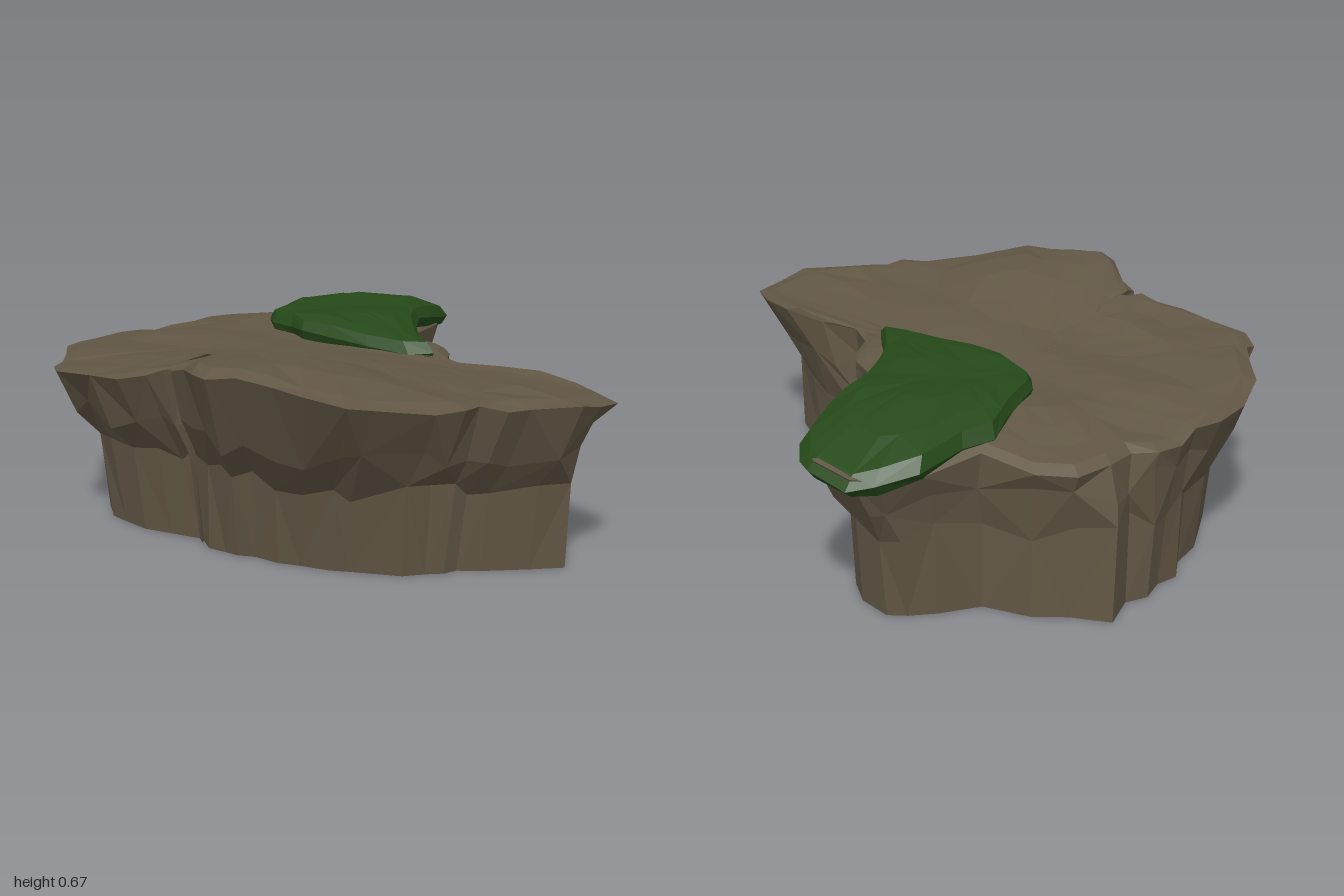
import * as THREE from 'three';

// Repeatable noise in the range -1..1
const noise = (a, b) => {
  const s = Math.sin(a * 12.9898 + b * 78.233) * 43758.5453;
  return (s - Math.floor(s)) * 2 - 1;
};
const bump = (x, z, cx, cz, w) => Math.exp(-((x - cx) ** 2 + (z - cz) ** 2) / w);
const { lerp: mix, smoothstep } = THREE.MathUtils;

// Height of the rock's upper surface, with shallow slanting ridges
const rockHeight = (x, z) => 0.548
  + 0.125 * bump(x, z, 0.33, 0.6, 0.16)
  + 0.02 * bump(x, z, 0.88, 0.1, 0.05)
  - 0.045 * smoothstep(-x, 0.6, 0.95)
  - 0.03 * smoothstep(-z, 0.2, 0.7)
  + 0.006 * Math.sin(4 * x + 17 * z) + 0.004 * Math.sin(9 * x - 8 * z);

// Height of the grass crown, sinking toward the back tip and both sides
const grassHeight = (x, z) => 0.614
  - 0.08 * smoothstep(-z, 0.5, 0.9)
  - 0.045 * smoothstep(-x, 0.5, 0.8)
  - 0.02 * smoothstep(x, -0.2, 0.1)
  + 0.004 * Math.sin(13 * x + 9 * z);

// Joins closed rings of points, listed from the lowest outward to the innermost
function loft(rings) {
  const pos = [];
  const tri = (...p) => p.forEach((v) => pos.push(v.x, v.y, v.z));
  for (let r = 0; r < rings.length - 1; r++) {
    const lo = rings[r], up = rings[r + 1], n = lo.length;
    const last = r === rings.length - 2;
    for (let i = 0; i < n; i++) {
      const j = (i + 1) % n;
      if (last) tri(lo[i], lo[j], up[i]);
      else if ((i + r) % 2) { tri(lo[i], lo[j], up[j]); tri(lo[i], up[j], up[i]); }
      else { tri(lo[i], lo[j], up[i]); tri(lo[j], up[j], up[i]); }
    }
  }
  const g = new THREE.BufferGeometry();
  g.setAttribute('position', new THREE.Float32BufferAttribute(pos, 3));
  g.computeVertexNormals();
  return g;
}

// Distance from a centre to a closed outline, as a multiple of the direction
function reach(outline, cx, cz, dx, dz) {
  for (let i = 0; i < outline.length; i++) {
    const [ax, az] = outline[i], [bx, bz] = outline[(i + 1) % outline.length];
    const ex = bx - ax, ez = bz - az, d = dx * ez - dz * ex;
    if (Math.abs(d) < 1e-9) continue;
    const t = ((ax - cx) * ez - (az - cz) * ex) / d;
    const u = ((ax - cx) * dz - (az - cz) * dx) / d;
    if (t > 0 && u >= -1e-6 && u <= 1 + 1e-6) return t;
  }
  return 1;
}

// Upper rim of the rock: left side, front, right side, back
const rim = [
  [-0.96, -0.1], [-0.92, 0], [-0.95, 0.08], [-0.94, 0.17], [-0.9, 0.25], [-0.88, 0.36], [-0.82, 0.5],
  [-0.73, 0.62], [-0.6, 0.7], [-0.5, 0.77], [-0.49, 0.81], [-0.39, 0.855], [-0.25, 0.82], [-0.12, 0.8],
  [-0.05, 0.74], [0, 0.71], [0.01, 0.64], [0.03, 0.7], [0.1, 0.7], [0.25, 0.77], [0.34, 0.785],
  [0.4, 0.72], [0.5, 0.67], [0.62, 0.64], [0.7, 0.55], [0.73, 0.48], [0.82, 0.32], [0.86, 0.24],
  [0.84, 0.17], [0.91, 0.12], [0.93, 0.05], [0.995, -0.1], [0.97, -0.2], [0.935, -0.31], [0.82, -0.335],
  [0.65, -0.34], [0.47, -0.29], [0.34, -0.23], [0.22, -0.26], [0.15, -0.33], [0.08, -0.37], [-0.11, -0.4],
  [-0.2, -0.49], [-0.3, -0.67], [-0.41, -0.79], [-0.55, -0.84], [-0.69, -0.8], [-0.73, -0.73],
  [-0.75, -0.6], [-0.74, -0.4], [-0.9, -0.32], [-0.97, -0.22],
];

// Footprint of the rock on the ground
const foot = [
  [-1, -0.106], [-0.93, 0], [-0.92, 0.12], [-0.84, 0.27], [-0.75, 0.38], [-0.57, 0.57], [-0.39, 0.66],
  [-0.22, 0.61], [-0.08, 0.54], [0.02, 0.57], [0.2, 0.52], [0.4, 0.42], [0.6, 0.27], [0.7, 0.08],
  [0.76, -0.04], [0.87, -0.1], [0.87, -0.18], [0.6, -0.235], [0.35, -0.22], [0.14, -0.33], [-0.2, -0.44],
  [-0.32, -0.6], [-0.5, -0.68], [-0.65, -0.64], [-0.72, -0.4], [-0.86, -0.28],
];

// Outline of the grass patch
const patch = [
  [-0.77, -0.62], [-0.72, -0.45], [-0.72, -0.34], [-0.66, -0.27], [-0.6, -0.2], [-0.52, -0.08],
  [-0.45, -0.04], [-0.36, -0.05], [-0.27, -0.03], [-0.15, -0.06], [0, -0.1], [0.15, -0.15],
  [0.22, -0.2], [0.05, -0.29], [-0.1, -0.4], [-0.2, -0.5], [-0.25, -0.6], [-0.31, -0.7], [-0.4, -0.81],
  [-0.48, -0.85], [-0.55, -0.86], [-0.7, -0.82], [-0.74, -0.75],
];

function makeRock() {
  const cx = -0.3, cz = 0;
  // Footprint with shallow upright grooves
  const base = rim.map(([x, z], i) => {
    const t = reach(foot, cx, cz, x - cx, z - cz) * (i ? 1 - 0.025 * (1 + noise(i, 3)) * (i % 2) : 1);
    return [cx + (x - cx) * t, cz + (z - cz) * t];
  });
  const rings = [];
  // Steep lower wall, then the overhang: [height, share of the rim, roughness]
  [[0, 0, 0], [0.27, 0.18, 0.022], [0.4, 0.6, 0.025]].forEach(([y, k, rough], r) => {
    rings.push(rim.map(([x, z], i) => new THREE.Vector3(
      mix(base[i][0], x, k) + rough * 0.6 * noise(i, r),
      y + rough * 1.7 * noise(i, r + 5),
      mix(base[i][1], z, k) + rough * 0.6 * noise(i, r + 9))));
  });
  // Rim lip and upper surface, closing at the centre
  [1, 0.94, 0.8, 0.65, 0.5, 0.35, 0.2, 0].forEach((k, r) => {
    rings.push(rim.map(([x, z], i) => {
      const px = mix(cx, x, k), pz = mix(cz, z, k);
      const rough = 0.008 * k * k * noise(i, r + 20);
      return new THREE.Vector3(px, rockHeight(px, pz) - (r ? 0 : 0.012) + rough, pz);
    }));
  });
  return loft(rings);
}

function makeGrass() {
  const cx = -0.4, cz = -0.28;
  // Lower edge, thick lip and gently domed crown: [scale, drop below the crown]
  const steps = [[0.95, 0.08], [1, 0.045], [0.93, 0.01], [0.7, 0], [0.35, 0], [0, 0]];
  return loft(steps.map(([k, drop], r) => patch.map(([x, z], i) => {
    const px = mix(cx, x, k), pz = mix(cz, z, k);
    const rough = 0.006 * k * noise(i, r + 40);
    return new THREE.Vector3(px, grassHeight(px, pz) - drop + rough, pz);
  })));
}

export function createModel() {
  const group = new THREE.Group();
  const add = (name, geometry, color) => {
    const mesh = new THREE.Mesh(geometry, new THREE.MeshStandardMaterial({
      color, flatShading: true, side: THREE.DoubleSide,
    }));
    mesh.name = name;
    group.add(mesh);
  };
  add('rockLedge', makeRock(), 0x625745);
  add('grassPatch', makeGrass(), 0x264919);
  return group;
}
